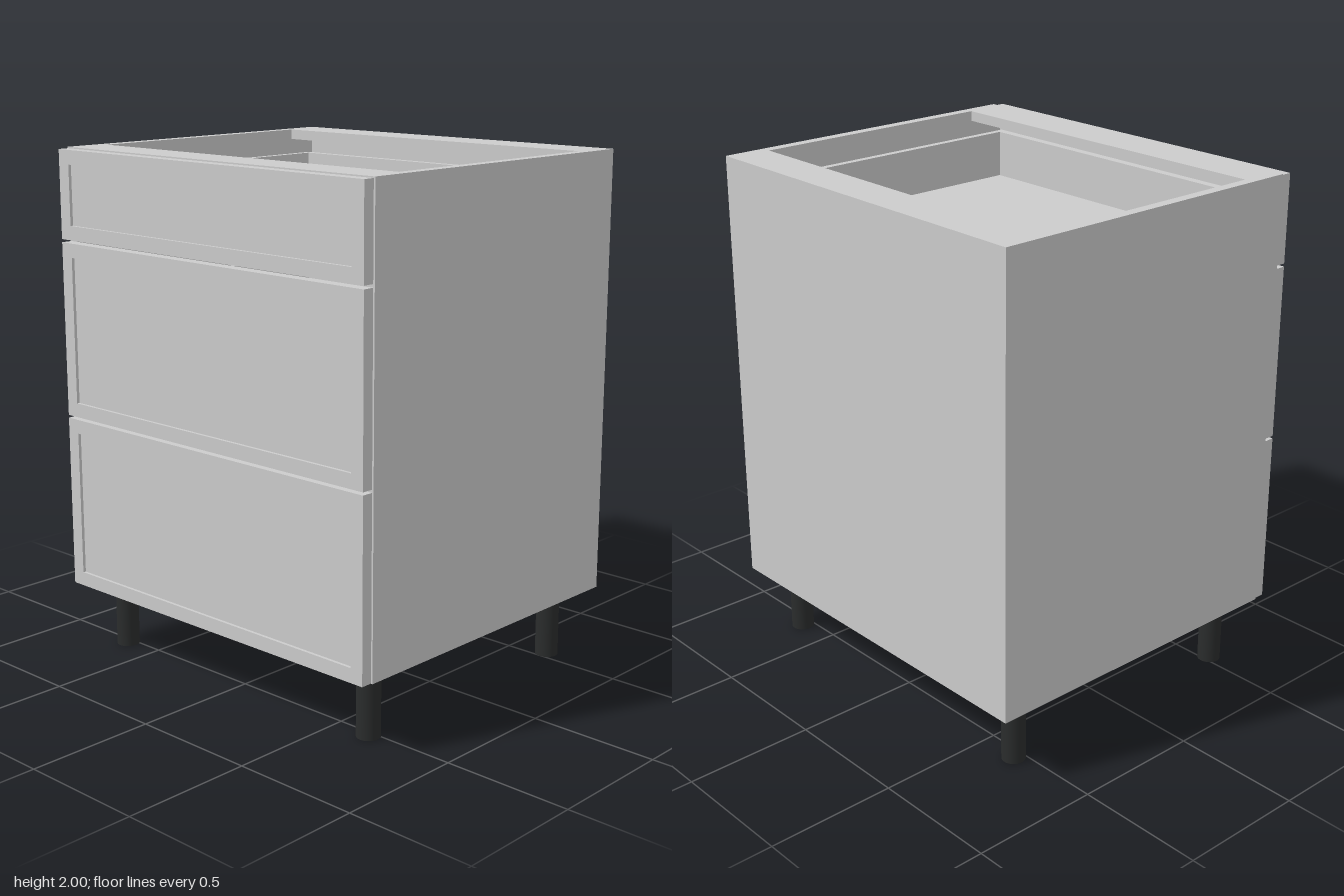
import * as THREE from 'three';

const grey = new THREE.MeshStandardMaterial({ color: 0xcccccc });
const dark = new THREE.MeshStandardMaterial({ color: 0x2a2c2c });

// Box given by its lower and upper corners
function block(parent, name, [x0, y0, z0], [x1, y1, z1]) {
  const mesh = new THREE.Mesh(new THREE.BoxGeometry(x1 - x0, y1 - y0, z1 - z0), grey);
  mesh.position.set((x0 + x1) / 2, (y0 + y1) / 2, (z0 + z1) / 2);
  mesh.name = name;
  parent.add(mesh);
}

// Rectangle outline centred on the origin
function rectangle(target, w, h) {
  target.moveTo(-w / 2, -h / 2);
  target.lineTo(w / 2, -h / 2);
  target.lineTo(w / 2, h / 2);
  target.lineTo(-w / 2, h / 2);
  target.closePath();
  return target;
}

// Framed front with a shallow recessed panel
function drawerFront(y0, y1) {
  const group = new THREE.Group();
  group.name = 'drawerFront';
  const w = 1.55, h = y1 - y0, border = 0.055, recess = 0.012;
  const shape = rectangle(new THREE.Shape(), w, h);
  shape.holes.push(rectangle(new THREE.Path(), w - 2 * border, h - 2 * border));
  const frame = new THREE.Mesh(
    new THREE.ExtrudeGeometry(shape, { depth: 0.045, bevelEnabled: false }), grey);
  frame.name = 'frontFrame';
  frame.position.set(0, (y0 + y1) / 2, 0.647);
  group.add(frame);
  const px = w / 2 - border;
  block(group, 'recessedPanel', [-px, y0 + border, 0.647], [px, y1 - border, 0.692 - recess]);
  return group;
}

// Open box behind a front
function drawerBox(y0, y1) {
  const group = new THREE.Group();
  group.name = 'drawerBox';
  const out = 0.73, inn = 0.703, back = -0.62, front = 0.645;
  block(group, 'drawerLeft', [inn, y0, back], [out, y1, front]);
  block(group, 'drawerRight', [-out, y0, back], [-inn, y1, front]);
  block(group, 'drawerBack', [-inn, y0, back], [inn, y1, back + 0.03]);
  block(group, 'drawerInnerFront', [-inn, y0, 0.61], [inn, y1, front]);
  block(group, 'drawerFloor', [-inn, y0, back + 0.03], [inn, y0 + 0.03, 0.61]);
  return group;
}

export function createModel() {
  const model = new THREE.Group();
  model.name = 'drawerCabinet';

  // Carcass
  const X = 0.78, IN = 0.74, BACK = -0.692, FRONT = 0.645, LOW = 0.27;
  block(model, 'leftSide', [IN, LOW, BACK], [X, 2, FRONT]);
  block(model, 'rightSide', [-X, LOW, BACK], [-IN, 2, FRONT]);
  block(model, 'bottomPanel', [-IN, LOW, BACK], [IN, LOW + 0.04, FRONT]);
  block(model, 'backPanel', [-IN, LOW + 0.04, BACK], [IN, 1.96, BACK + 0.04]);
  block(model, 'backRail', [-IN, 1.96, BACK], [IN, 2, -0.525]);
  block(model, 'frontRail', [-IN, 1.96, 0.485], [IN, 2, FRONT]);

  // Drawers, from bottom to top: front range, box range
  for (const [f0, f1, b0, b1] of [
    [0.272, 0.952, 0.36, 0.78],
    [0.963, 1.642, 1.02, 1.46],
    [1.654, 1.995, 1.685, 1.9],
  ]) {
    const drawer = new THREE.Group();
    drawer.name = 'drawer';
    drawer.add(drawerFront(f0, f1), drawerBox(b0, b1));
    model.add(drawer);
  }

  // Legs
  const legGeometry = new THREE.CylinderGeometry(0.045, 0.045, LOW, 32);
  for (const x of [-0.655, 0.655]) {
    for (const z of [-0.54, 0.525]) {
      const leg = new THREE.Mesh(legGeometry, dark);
      leg.name = 'leg';
      leg.position.set(x, LOW / 2, z);
      model.add(leg);
    }
  }
  return model;
}
